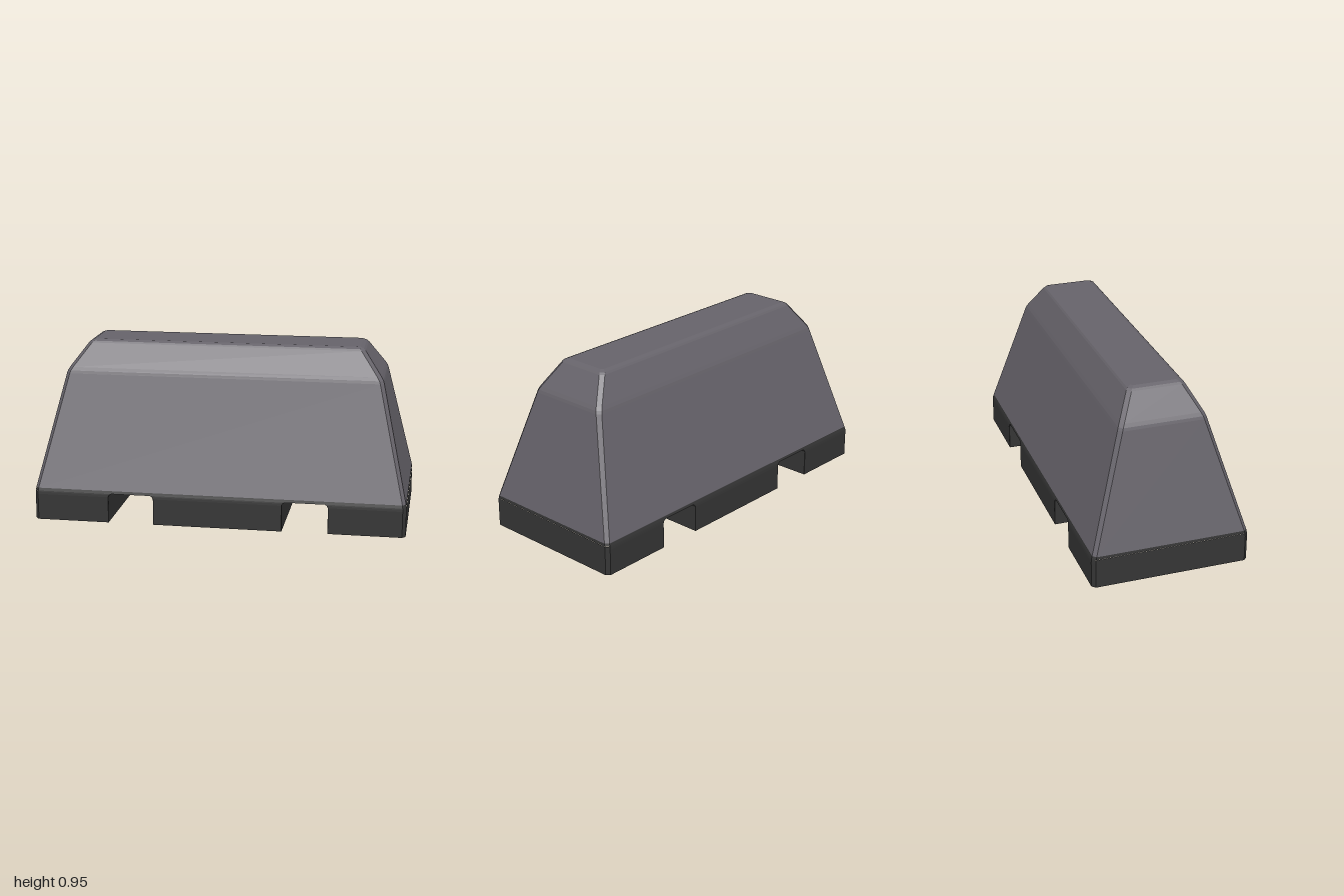
import * as THREE from 'three';

// Horizontal section with chamfered corners; c0 and c1 are the chamfers at the x0 and x1 ends
function ring(y, x0, x1, hz, c0, c1) {
  return [
    [x1, hz - c1], [x1, c1 - hz], [x1 - c1, -hz], [x0 + c0, -hz],
    [x0, c0 - hz], [x0, hz - c0], [x0 + c0, hz], [x1 - c1, hz],
  ].map(([x, z]) => [x, y, z]);
}

// Faceted skin through a stack of sections, listed from bottom to top
function loft(rings, capBottom, capTop) {
  const pos = [];
  const tri = (a, b, c) => pos.push(...a, ...b, ...c);
  for (let k = 0; k < rings.length - 1; k++) {
    const a = rings[k], b = rings[k + 1];
    for (let i = 0; i < a.length; i++) {
      const j = (i + 1) % a.length;
      tri(a[i], a[j], b[j]);
      tri(a[i], b[j], b[i]);
    }
  }
  const low = rings[0], high = rings[rings.length - 1];
  for (let i = 1; i < low.length - 1; i++) {
    if (capBottom) tri(low[0], low[i + 1], low[i]);
    if (capTop) tri(high[0], high[i], high[i + 1]);
  }
  const geo = new THREE.BufferGeometry();
  geo.setAttribute('position', new THREE.Float32BufferAttribute(pos, 3));
  geo.computeVertexNormals();
  return geo;
}

export function createModel() {
  const group = new THREE.Group();
  const bodyGrey = new THREE.MeshStandardMaterial({ color: 0x66636a });
  bodyGrey.name = 'bodyGrey';
  const baseBlack = new THREE.MeshStandardMaterial({ color: 0x353535 });
  baseBlack.name = 'baseBlack';
  const add = (name, geo, mat) => {
    const mesh = new THREE.Mesh(geo, mat);
    mesh.name = name;
    group.add(mesh);
  };

  // Tapered body with bevelled shoulders and crown: [y, half length, half width, chamfer]
  const bodyLevels = [
    [0.175, 0.997, 0.414, 0.018],
    [0.775, 0.858, 0.235, 0.02],
    [0.79, 0.853, 0.23, 0.02],
    [0.808, 0.842, 0.221, 0.02],
    [0.932, 0.751, 0.153, 0.02],
    [0.941, 0.741, 0.145, 0.018],
    [0.95, 0.722, 0.125, 0.012],
  ];
  add('body', loft(bodyLevels.map(([y, hx, hz, c]) => ring(y, -hx, hx, hz, c, c)), false, true), bodyGrey);

  // Thin band that joins the feet and roofs the fork slots
  add('baseBand', loft([
    ring(0.16, -0.999, 0.999, 0.418, 0.018, 0.018),
    ring(0.175, -0.997, 0.997, 0.414, 0.018, 0.018),
  ], true, false), baseBlack);

  // Feet, flaring into the slot roof: [y, half width, flare]
  const footLevels = [[0, 0.42, 0], [0.142, 0.42, 0], [0.154, 0.419, 0.006], [0.16, 0.418, 0.018]];
  const sharp = 0.001, chamfer = 0.018;
  const feet = [
    ['rightFoot', -1, -0.592, 0, 1],
    ['middleFoot', -0.347, 0.347, 1, 1],
    ['leftFoot', 0.592, 1, 1, 0],
  ];
  for (const [name, x0, x1, slot0, slot1] of feet) {
    const rings = footLevels.map(([y, hz, f]) => ring(
      y, x0 - slot0 * f, x1 + slot1 * f, hz, slot0 ? sharp : chamfer, slot1 ? sharp : chamfer));
    add(name, loft(rings, true, false), baseBlack);
  }
  return group;
}
